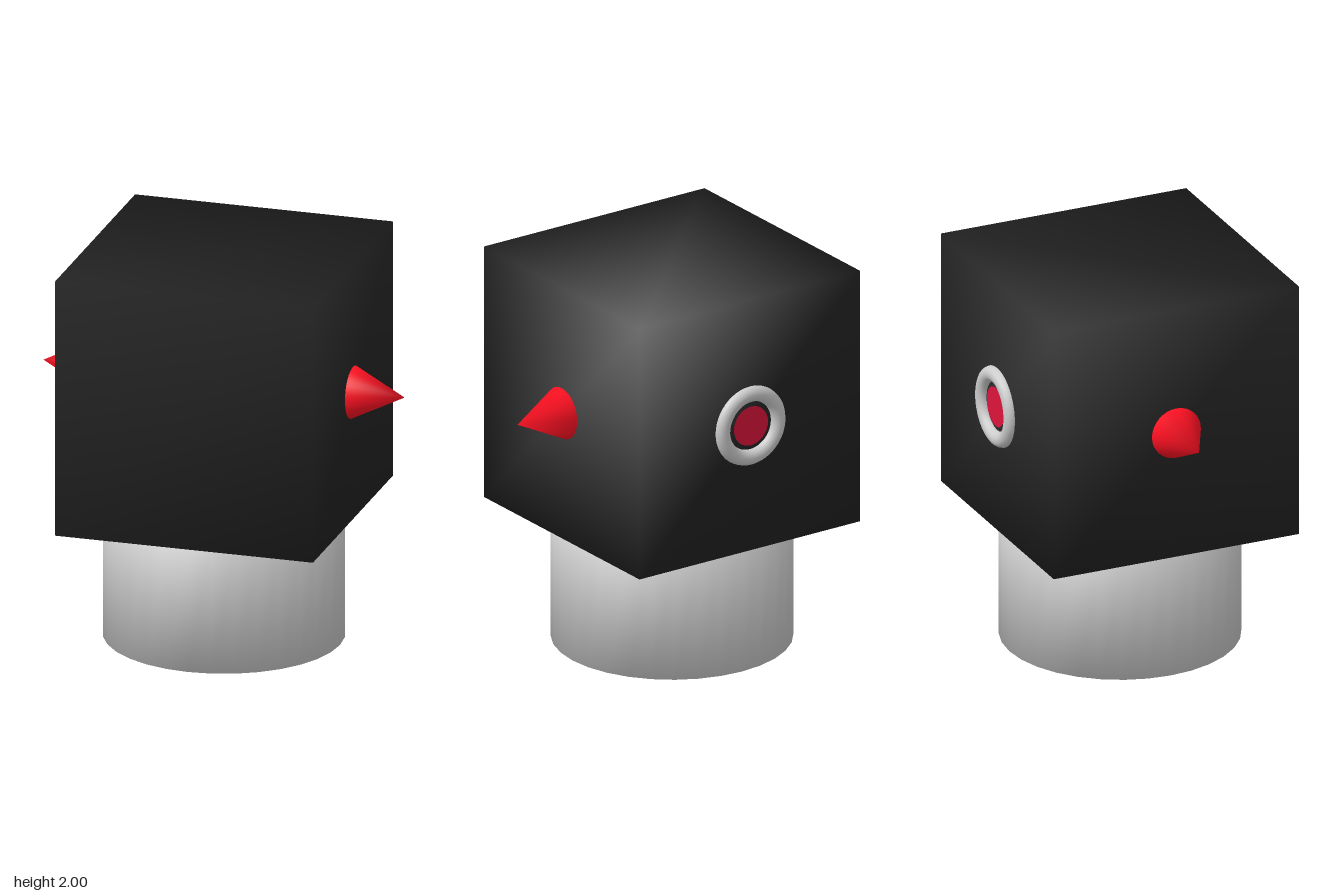
import * as THREE from 'three';
import { mergeVertices } from 'three/addons/utils/BufferGeometryUtils.js';

const CENTER_Z = 0.02;
const HEAD = 1.333;
const FACE_Y = 1.333;
const BACK_Z = CENTER_Z - HEAD / 2;

// Weld a geometry so its normals are shared smoothly across all edges
function soften(geometry) {
  geometry.deleteAttribute('uv');
  geometry.deleteAttribute('normal');
  const welded = mergeVertices(geometry, 1e-4);
  welded.computeVertexNormals();
  return welded;
}

export function createModel() {
  const group = new THREE.Group();
  const grey = new THREE.MeshStandardMaterial({ color: 0xcccccc });
  const black = new THREE.MeshStandardMaterial({ color: 0x222222 });
  const red = new THREE.MeshStandardMaterial({ color: 0xff1122 });
  const crimson = new THREE.MeshStandardMaterial({ color: 0xdc143c });

  const add = (name, geometry, material, x, y, z) => {
    const mesh = new THREE.Mesh(geometry, material);
    mesh.name = name;
    mesh.position.set(x, y, z);
    group.add(mesh);
    return mesh;
  };

  // Round neck under a cube head
  const neckHeight = 2 - HEAD;
  add('neck', soften(new THREE.CylinderGeometry(0.6, 0.6, neckHeight, 32)), grey,
    0, neckHeight / 2, CENTER_Z);
  add('head', soften(new THREE.BoxGeometry(HEAD, HEAD, HEAD)), black,
    0, 2 - HEAD / 2, CENTER_Z);

  // Pointed cones on both sides
  const spikeLength = 0.267;
  for (const [name, side] of [['leftSpike', 1], ['rightSpike', -1]]) {
    const spike = add(name, soften(new THREE.ConeGeometry(0.133, spikeLength, 32)), red,
      side * (HEAD + spikeLength) / 2, FACE_Y, CENTER_Z);
    spike.rotation.z = -side * Math.PI / 2;
  }

  // Ring with a coloured disc inside it, on the back
  add('backRing', new THREE.TorusGeometry(0.167, 0.04, 16, 48), grey, 0, FACE_Y, BACK_Z);
  const disc = add('backDisc', new THREE.CircleGeometry(0.103, 32), crimson,
    0, FACE_Y, BACK_Z - 0.01);
  disc.rotation.y = Math.PI;

  return group;
}
